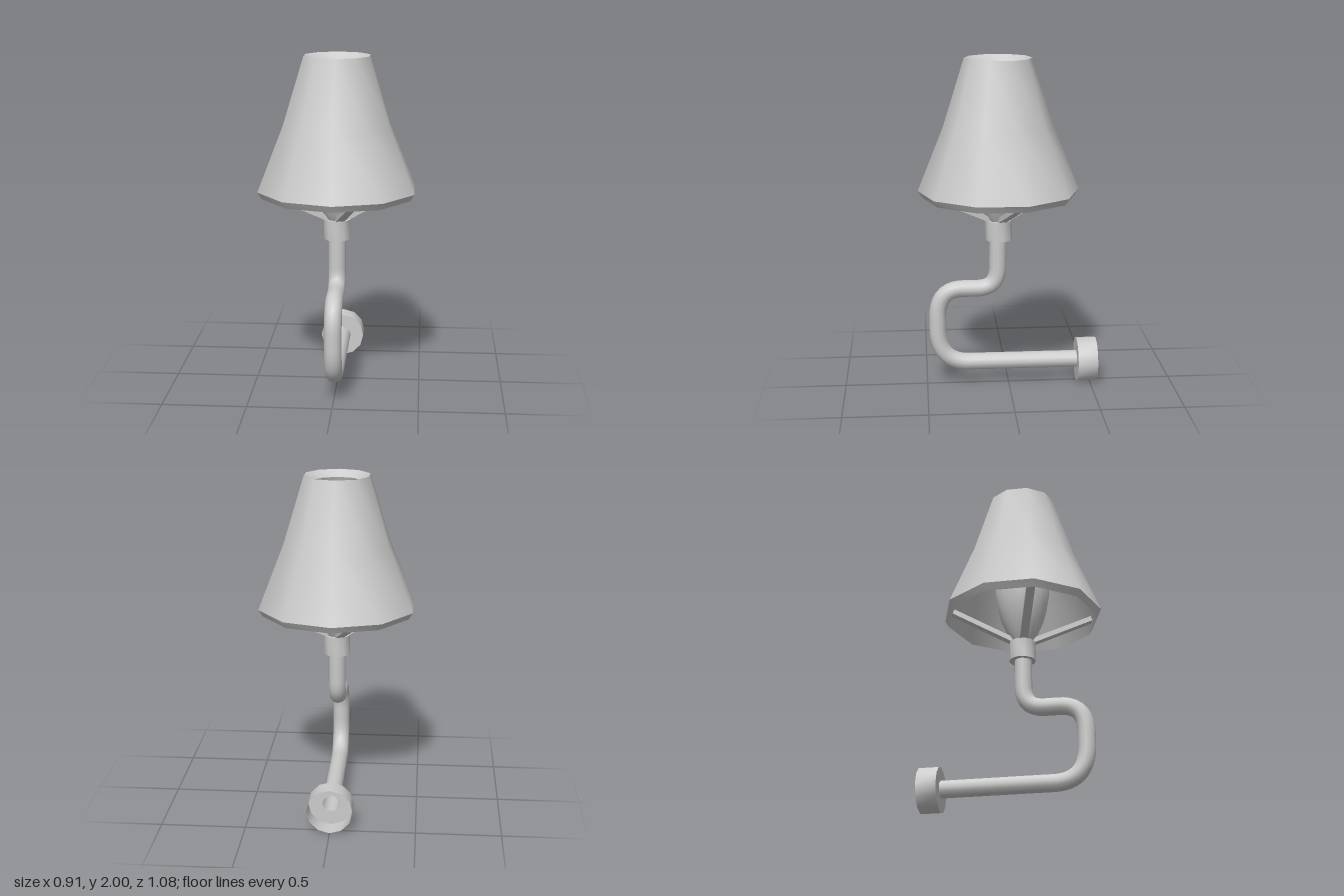
import * as THREE from 'three';
import { toCreasedNormals } from 'three/addons/utils/BufferGeometryUtils.js';

const AXIS_Z = 0.06;   // vertical axis of shade, bulb and socket
const PIPE_R = 0.052;

const material = new THREE.MeshStandardMaterial({ color: 0xcccccc, side: THREE.DoubleSide });

function addMesh(parent, name, geometry) {
  const mesh = new THREE.Mesh(geometry, material);
  mesh.name = name;
  parent.add(mesh);
  return mesh;
}

// Turned part from [radius, height] pairs, with sharp rims and smooth sides
function turned(points, sides) {
  const profile = points.map(([r, y]) => new THREE.Vector2(r, y));
  return toCreasedNormals(new THREE.LatheGeometry(profile, sides), 0.75);
}

export function createModel() {
  const model = new THREE.Group();
  model.name = 'wallLamp';

  const head = new THREE.Group();
  head.name = 'lampHead';
  head.position.z = AXIS_Z;
  model.add(head);

  // Ten-sided shade shell: outer wall, sloping top lip, inner wall, bevelled lower rim
  addMesh(head, 'shade', turned([
    [0.455, 1.175], [0.48, 1.215], [0.325, 1.6], [0.2, 2],
    [0.15, 1.96], [0.295, 1.57], [0.455, 1.175],
  ], 10));

  // Bulb: flared neck running into a round top
  const bulb = [[0.055, 1.02], [0.085, 1.07], [0.13, 1.18], [0.15, 1.26]];
  for (let i = 0; i <= 8; i++) {
    const a = (i / 8) * Math.PI / 2;
    bulb.push([Math.max(0.165 * Math.cos(a), 0), 1.36 + 0.165 * Math.sin(a)]);
  }
  addMesh(head, 'bulb', turned(bulb, 20));

  // Socket collar
  addMesh(head, 'socket', turned([[0, 0.91], [0.08, 0.91], [0.08, 1.03], [0, 1.03]], 10));

  // Four sloping struts between socket and shade
  const inner = new THREE.Vector2(0.05, 1.035);
  const outer = new THREE.Vector2(0.425, 1.21);
  const span = outer.clone().sub(inner);
  for (let i = 0; i < 4; i++) {
    const g = new THREE.BoxGeometry(span.length(), 0.03, 0.05);
    g.rotateZ(span.angle());
    g.translate((inner.x + outer.x) / 2, (inner.y + outer.y) / 2, 0);
    addMesh(head, 'shadeStrut', g).rotation.y = 0.29 + i * Math.PI / 2;
  }

  // Bent pipe arm, drawn in the plane x = 0
  const p = (z, y) => new THREE.Vector3(0, y, z);
  const path = new THREE.CurvePath();
  path.add(new THREE.LineCurve3(p(-0.425, 0.137), p(0.24, 0.137)));
  path.add(new THREE.CubicBezierCurve3(p(0.24, 0.137), p(0.37, 0.137), p(0.433, 0.21), p(0.433, 0.35)));
  path.add(new THREE.LineCurve3(p(0.433, 0.35), p(0.433, 0.42)));
  path.add(new THREE.CubicBezierCurve3(p(0.433, 0.42), p(0.433, 0.55), p(0.38, 0.607), p(0.27, 0.605)));
  path.add(new THREE.LineCurve3(p(0.27, 0.605), p(0.19, 0.605)));
  path.add(new THREE.CubicBezierCurve3(p(0.19, 0.605), p(0.1, 0.607), p(0.066, 0.65), p(0.066, 0.74)));
  path.add(new THREE.LineCurve3(p(0.066, 0.74), p(0.063, 0.93)));
  addMesh(model, 'arm', new THREE.TubeGeometry(path, 64, PIPE_R, 12));

  // Wall cup: front plate pierced by the pipe, open at the back
  const cup = turned([[PIPE_R - 0.004, 0.42], [0.135, 0.42], [0.135, 0.54]], 12);
  cup.rotateX(-Math.PI / 2);
  addMesh(model, 'wallMount', cup).position.y = 0.135;

  return model;
}
